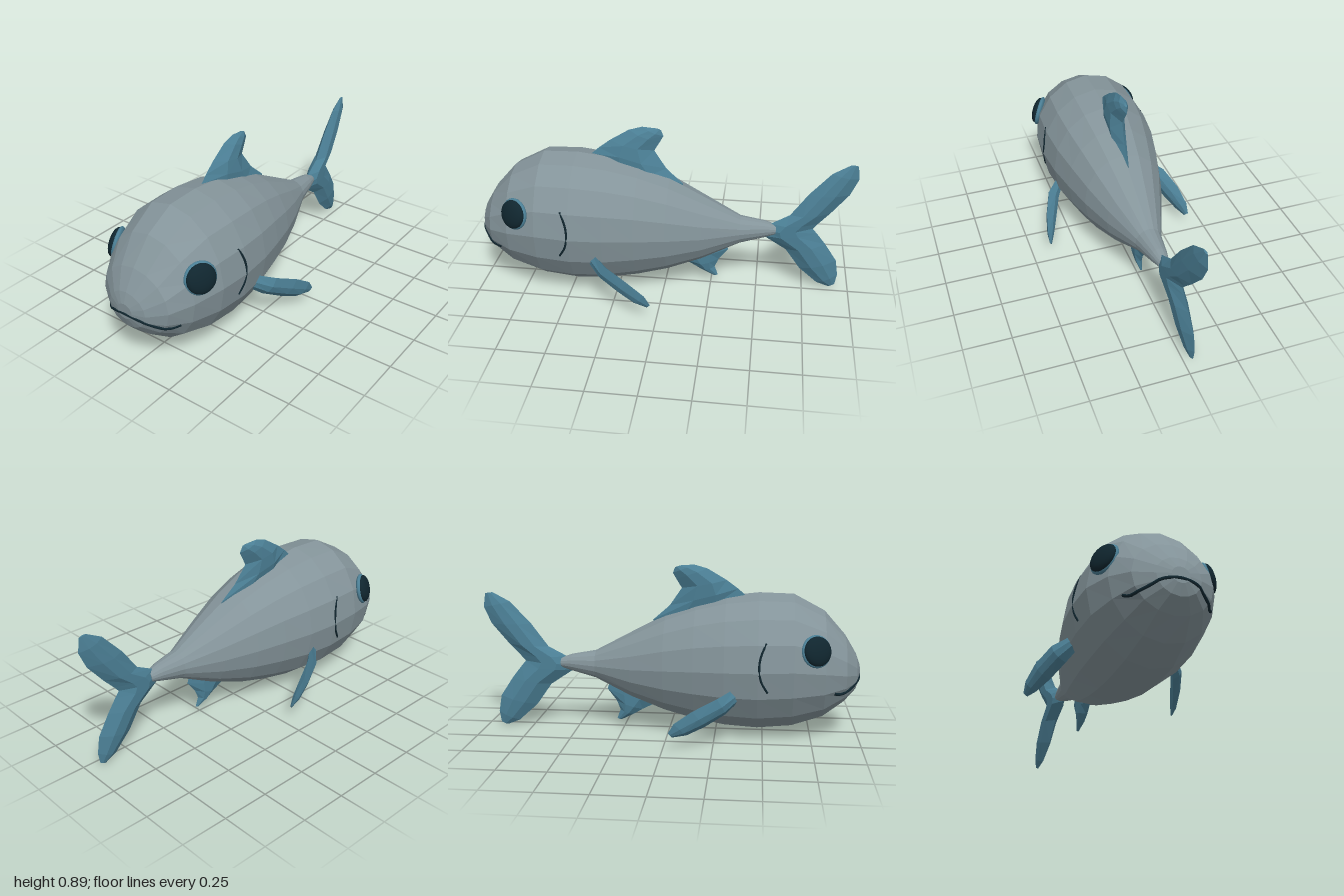
import * as THREE from 'three';

const bodyMat = new THREE.MeshStandardMaterial({ name: 'bodyGrey', color: 0x84949a });
const finMat = new THREE.MeshStandardMaterial({ name: 'finTeal', color: 0x4b7f95 });
const darkMat = new THREE.MeshStandardMaterial({ name: 'darkBlue', color: 0x10262f });

// Body stations: x, top y, bottom y, half width, sideways shift
const STATIONS = [
  [-1.0, 0.385, 0.305, 0.045, 0],
  [-0.98, 0.44, 0.25, 0.11, 0],
  [-0.92, 0.54, 0.185, 0.2, 0],
  [-0.81, 0.665, 0.1, 0.265, 0],
  [-0.65, 0.75, 0.045, 0.308, 0],
  [-0.47, 0.755, 0.027, 0.315, 0],
  [-0.3, 0.735, 0.037, 0.298, 0],
  [-0.14, 0.693, 0.065, 0.262, 0],
  [0.02, 0.63, 0.107, 0.218, 0],
  [0.2, 0.535, 0.175, 0.152, 0],
  [0.4, 0.428, 0.275, 0.07, -0.004],
  [0.53, 0.405, 0.312, 0.045, -0.01],
  [0.59, 0.385, 0.33, 0.03, -0.014],
];

// Flat-shaded skin over rings of points, closed at both ends
function loft(rings) {
  const pos = [];
  let volume = 0;
  const tri = (a, b, c) => {
    pos.push([a, b, c]);
    volume += a.dot(new THREE.Vector3().crossVectors(b, c));
  };
  const n = rings[0].length;
  for (let i = 0; i < rings.length - 1; i++) {
    for (let j = 0; j < n; j++) {
      const k = (j + 1) % n, p = rings[i], q = rings[i + 1];
      tri(p[j], q[j], q[k]);
      tri(p[j], q[k], p[k]);
    }
  }
  const first = rings[0], last = rings[rings.length - 1];
  for (let j = 1; j < n - 1; j++) {
    tri(first[0], first[j], first[j + 1]);
    tri(last[0], last[j + 1], last[j]);
  }
  // Turn the faces outward whichever way the rings run
  const flat = pos.flatMap(([a, b, c]) => (volume > 0 ? [a, b, c] : [a, c, b]));
  const geo = new THREE.BufferGeometry().setFromPoints(flat);
  geo.computeVertexNormals();
  return geo;
}

// Fin from sections of leading point, trailing point and half thickness
function finGeometry(sections, normal) {
  return loft(sections.map(([a, b, t]) => {
    const at = (f, side) => a.clone().lerp(b, f).addScaledVector(normal, side * t);
    return [a, at(0.32, 1), at(0.64, 1), b, at(0.64, -1), at(0.32, -1)];
  }));
}

// Upright fin drawn in the x-y plane, with z given by a rule
function uprightFin(rows, zRule) {
  const point = (x, y) => new THREE.Vector3(x, y, zRule(x, y));
  return finGeometry(
    rows.map(([ax, ay, bx, by, t]) => [point(ax, ay), point(bx, by), t]),
    new THREE.Vector3(0, 0, 1));
}

// Point on the body's side at a given x and y
function onBody(x, y, side) {
  let i = 0;
  while (i < STATIONS.length - 2 && STATIONS[i + 1][0] < x) i++;
  const p = STATIONS[i], q = STATIONS[i + 1];
  const f = (x - p[0]) / (q[0] - p[0]);
  const [, top, bottom, width] = p.map((v, k) => v + (q[k] - v) * f);
  const u = (y - (top + bottom) / 2) / ((top - bottom) / 2);
  return new THREE.Vector3(x, y, side * width * 0.985 * Math.sqrt(Math.max(0, 1 - u * u)));
}

function lineGeometry(points, radius) {
  return new THREE.TubeGeometry(new THREE.CatmullRomCurve3(points), 28, radius, 6);
}

export function createModel() {
  const group = new THREE.Group();
  group.name = 'fish';
  const add = (name, geo, mat, parent = group) => {
    const mesh = new THREE.Mesh(geo, mat);
    mesh.name = name;
    parent.add(mesh);
    return mesh;
  };

  // Sixteen-sided tapering body
  add('body', loft(STATIONS.map(([x, top, bottom, w, shift]) =>
    Array.from({ length: 16 }, (_, j) => {
      const a = (j / 16) * Math.PI * 2;
      return new THREE.Vector3(x,
        (top + bottom) / 2 + Math.cos(a) * (top - bottom) / 2, shift + Math.sin(a) * w);
    }))), bodyMat);

  // Back fin, leaning slightly with height
  add('dorsalFin', uprightFin([
    [-0.4, 0.70, 0.08, 0.57, 0.035],
    [-0.4, 0.74, 0.09, 0.60, 0.036],
    [-0.36, 0.775, 0.0, 0.68, 0.042],
    [-0.30, 0.82, -0.065, 0.775, 0.038],
    [-0.2, 0.88, -0.035, 0.825, 0.03],
    [-0.13, 0.90, -0.018, 0.855, 0.02],
    [-0.06, 0.895, -0.03, 0.885, 0.006],
  ], (x, y) => -0.015 - (y - 0.7) * 0.1), finMat);

  // Forked tail, from the upper tip round to the lower tip
  add('tailFin', uprightFin([
    [0.95, 0.74, 0.99, 0.735, 0.005],
    [0.86, 0.69, 1.0, 0.66, 0.02],
    [0.75, 0.57, 0.96, 0.57, 0.03],
    [0.66, 0.445, 0.87, 0.46, 0.035],
    [0.56, 0.39, 0.81, 0.395, 0.036],
    [0.53, 0.35, 0.785, 0.365, 0.036],
    [0.53, 0.315, 0.81, 0.335, 0.036],
    [0.65, 0.235, 0.86, 0.27, 0.034],
    [0.73, 0.12, 0.925, 0.17, 0.03],
    [0.83, 0.03, 0.94, 0.08, 0.018],
    [0.895, 0.005, 0.93, 0.02, 0.005],
  ], (x) => -0.01 - (x - 0.55) * 0.09), finMat);

  // Small fin under the belly
  add('analFin', uprightFin([
    [0.08, 0.17, 0.33, 0.25, 0.025],
    [0.08, 0.14, 0.34, 0.215, 0.025],
    [0.15, 0.105, 0.29, 0.15, 0.025],
    [0.2, 0.075, 0.27, 0.10, 0.018],
    [0.265, 0.043, 0.288, 0.05, 0.005],
  ], () => -0.012), finMat);

  for (const side of [1, -1]) {
    const label = side > 0 ? 'left' : 'right';
    const v = (x, y, z) => new THREE.Vector3(x, y, z * side);

    // Side fins sweeping out, down and back
    add(label + 'PectoralFin', finGeometry([
      [v(-0.38, 0.23, 0.24), v(-0.355, 0.30, 0.265), 0.018],
      [v(-0.31, 0.17, 0.285), v(-0.27, 0.265, 0.345), 0.024],
      [v(-0.21, 0.115, 0.33), v(-0.15, 0.21, 0.39), 0.023],
      [v(-0.12, 0.08, 0.37), v(-0.06, 0.15, 0.41), 0.016],
      [v(-0.05, 0.075, 0.395), v(-0.03, 0.10, 0.41), 0.004],
    ], v(0.51, 0.31, -0.8)), finMat);

    // Domed eye in a thin rim
    const eye = new THREE.Group();
    eye.name = label + 'Eye';
    eye.position.copy(v(-0.758, 0.5, 0.258));
    eye.lookAt(eye.position.clone().add(v(-0.44, 0.24, 0.87)));
    group.add(eye);
    add(label + 'EyeRim', new THREE.SphereGeometry(0.083, 20, 12).scale(1, 1, 0.3), finMat, eye);
    add(label + 'Pupil', new THREE.SphereGeometry(0.075, 20, 12).scale(1, 1, 0.4), darkMat, eye)
      .position.z = 0.012;

    // Gill line
    add(label + 'Gill', lineGeometry(
      [[-0.51, 0.54], [-0.485, 0.48], [-0.476, 0.42], [-0.487, 0.35], [-0.52, 0.29]]
        .map(([x, y]) => onBody(x, y, side)), 0.006), darkMat);
  }

  // Smile wrapping round the nose
  const smile = [[-0.855, 0.276], [-0.88, 0.265], [-0.92, 0.272], [-0.96, 0.295], [-0.985, 0.316]];
  add('mouth', lineGeometry([
    ...smile.map(([x, y]) => onBody(x, y, 1)),
    new THREE.Vector3(-0.998, 0.33, 0),
    ...smile.map(([x, y]) => onBody(x, y, -1)).reverse(),
  ], 0.008), darkMat);

  return group;
}
